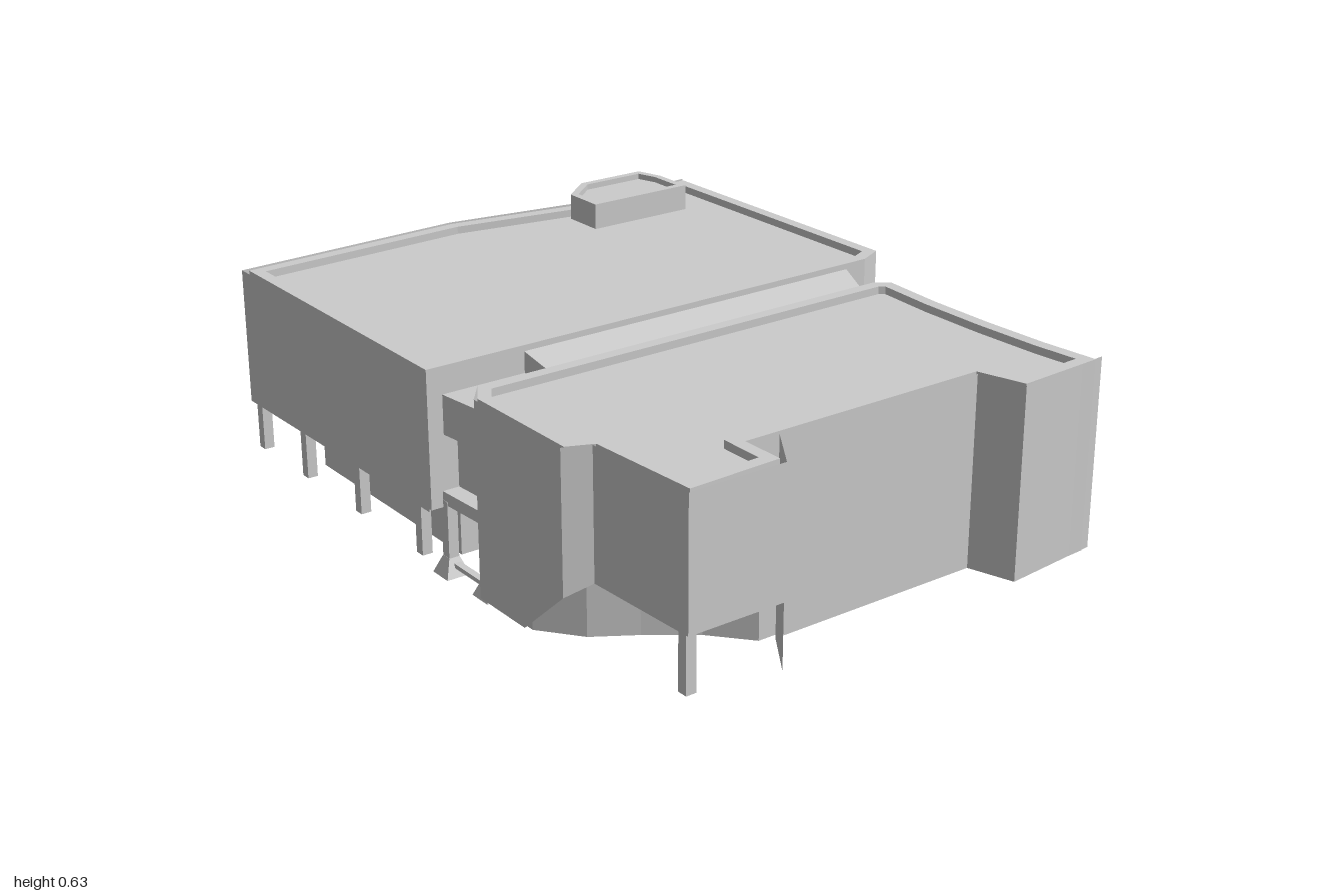
import * as THREE from 'three';

const TOP = 0.577, ROOF = 0.555, BASE = 0.04;
const mat = new THREE.MeshStandardMaterial({ color: 0xcccccc, flatShading: true, side: THREE.DoubleSide });

function add(group, name, geo, x = 0, y = 0, z = 0) {
  const m = new THREE.Mesh(geo, mat);
  m.name = name;
  m.position.set(x, y, z);
  group.add(m);
  return m;
}

const toVec = pts => pts.map(([x, z]) => new THREE.Vector2(x, -z));

// upright prism from a plan outline given as [x, z]
function prism(pts, y0, y1, hole) {
  const shape = new THREE.Shape(toVec(pts));
  if (hole) shape.holes.push(new THREE.Path(toVec(hole)));
  const g = new THREE.ExtrudeGeometry(shape, { depth: y1 - y0, bevelEnabled: false });
  return g.rotateX(-Math.PI / 2).translate(0, y0, 0);
}

// plan outline moved inwards by d
function inset(pts, d) {
  const n = pts.length;
  let area = 0;
  pts.forEach(([x, z], i) => { const q = pts[(i + 1) % n]; area += x * q[1] - q[0] * z; });
  const s = Math.sign(area);
  return pts.map((p, i) => {
    const a = pts[(i + n - 1) % n], b = pts[(i + 1) % n];
    const norm = (u, v) => {
      const dx = v[0] - u[0], dz = v[1] - u[1], l = Math.hypot(dx, dz);
      return [-dz / l * s, dx / l * s];
    };
    const n1 = norm(a, p), n2 = norm(p, b);
    const k = d / (1 + n1[0] * n2[0] + n1[1] * n2[1]);
    return [p[0] + (n1[0] + n2[0]) * k, p[1] + (n1[1] + n2[1]) * k];
  });
}

// flat facade panel between plan points a and b; lower edge is [t, y], cutouts are [t, y] loops
function panel(a, b, lower, cutouts = []) {
  const len = Math.hypot(b[0] - a[0], b[1] - a[1]);
  const v = ([t, y]) => new THREE.Vector2(t * len, y);
  const shape = new THREE.Shape([...lower, [1, TOP], [0, TOP]].map(v));
  cutouts.forEach(c => shape.holes.push(new THREE.Path(c.map(([u, y]) => new THREE.Vector2(u, y)))));
  const g = new THREE.ShapeGeometry(shape);
  g.rotateY(-Math.atan2(b[1] - a[1], b[0] - a[0]));
  return g.translate(a[0], 0, a[1]);
}

// jagged cutout outlines, in units of their own height
const JAGGED = [
  [[-0.3, 0.5], [0.05, 0.3], [0.1, 0.05], [0.3, -0.1], [0.22, -0.5], [0.02, -0.45], [-0.05, -0.1], [-0.35, 0.1], [-0.12, 0.25]],
  [[-0.3, 0.35], [0.0, 0.5], [0.15, 0.2], [0.0, 0.05], [0.4, -0.2], [0.2, -0.5], [-0.1, -0.4], [-0.05, -0.15], [-0.3, 0.05]],
  [[-0.25, 0.4], [0.1, 0.5], [0.3, 0.25], [0.08, 0.1], [0.1, -0.15], [0.5, -0.3], [0.45, -0.5], [-0.4, -0.35], [-0.1, -0.1], [-0.15, 0.15]],
];
const cut = (i, u, y, h, flip = 1) => JAGGED[i].map(([a, b]) => [u + a * h * flip, y + b * h]);

// main volume with raised rim around the roof
function volume(group, name, outline, lowerOutline, overhang) {
  add(group, name + 'Upper', prism(outline, overhang, ROOF));
  add(group, name + 'Lower', prism(lowerOutline, BASE, overhang));
  add(group, name + 'Parapet', prism(outline, ROOF, TOP, inset(outline, 0.035)));
}

export function createModel() {
  const root = new THREE.Group();
  root.name = 'building';

  // rear block
  const rear = new THREE.Group();
  rear.name = 'rearBlock';
  root.add(rear);
  volume(rear, 'rear',
    [[-0.765, 0.01], [0.7, 0.01], [0.775, -0.025], [0.765, -0.935], [0.38, -0.91], [-0.07, -0.985], [-0.76, -0.955]],
    [[-0.68, 0.01], [0.7, 0.01], [0.775, -0.025], [0.765, -0.935], [0.38, -0.91], [-0.07, -0.985], [-0.23, -0.975], [-0.68, -0.72]],
    0.19);

  // rear and side facades with cutouts
  const A = [-0.775, -0.97], B = [-0.07, -1], C = [0.38, -0.93];
  add(rear, 'rearFacadeLeft', panel(A, B, [[0, 0.18], [0.4, 0.15], [0.77, BASE], [1, BASE]],
    [cut(2, 0.27, 0.34, 0.28, -1)]));
  add(rear, 'rearFacadeRight', panel(B, C, [[0, BASE], [1, BASE]],
    [cut(1, 0.13, 0.34, 0.24, -1), cut(0, 0.32, 0.34, 0.34, -1)]));
  add(rear, 'rearFacadeEnd', panel([0.6, -0.935], [0.775, -0.95], [[0, BASE], [1, BASE]]));
  add(rear, 'sideFacade', panel(A, [-0.775, 0.015], [[0, 0.18], [1, 0.19]],
    [cut(1, 0.41, 0.36, 0.15), cut(2, 0.67, 0.42, 0.18, -1), cut(0, 0.87, 0.42, 0.2)]));

  // stair tower rising over the roof
  const tower = [[0.285, -0.74], [0.625, -0.74], [0.625, -0.87], [0.6, -0.95], [0.38, -0.95], [0.285, -0.87]];
  add(rear, 'tower', prism(tower, 0.035, 0.615));
  add(rear, 'towerRim', prism(tower, 0.615, 0.632, inset(tower, 0.022)));

  // front block
  const front = new THREE.Group();
  front.name = 'frontBlock';
  root.add(front);
  volume(front, 'front',
    [[-0.72, 0.18], [0.58, 0.18], [0.62, 0.21], [0.608, 0.4], [0.607, 0.6], [0.615, 0.8], [0.632, 0.965], [0.37, 0.98], [0.33, 0.845],
      [-0.41, 0.845], [-0.41, 0.97], [-0.675, 0.98], [-0.695, 0.65], [-0.765, 0.62], [-0.765, 0.25]],
    [[-0.72, 0.18], [0.58, 0.18], [0.62, 0.21], [0.608, 0.4], [0.607, 0.6], [0.615, 0.8], [0.632, 0.965], [0.37, 0.98], [0.33, 0.845],
      [-0.36, 0.845], [-0.45, 0.74], [-0.57, 0.65], [-0.68, 0.58], [-0.765, 0.47], [-0.765, 0.25]],
    0.22);

  // thin facade wrapping the front and left side: [from, to, start height, end height]
  [
    [[-0.72, 0.18], [-0.775, 0.25], BASE, BASE],
    [[-0.775, 0.25], [-0.775, 0.45], BASE, BASE],
    [[-0.775, 0.45], [-0.775, 0.62], BASE, 0.19],
    [[-0.775, 0.62], [-0.705, 0.65], 0.19, 0.22],
    [[-0.705, 0.65], [-0.69, 0.995], 0.22, 0.22],
    [[-0.69, 0.995], [-0.41, 0.995], 0.22, 0.22],
    [[-0.41, 0.995], [-0.32, 0.86], BASE, BASE],
    [[-0.32, 0.86], [0.32, 0.86], BASE, BASE],
    [[0.32, 0.86], [0.36, 0.99], BASE, BASE],
    [[0.36, 0.99], [0.66, 0.96], BASE, BASE],
  ].forEach(([a, b, y0, y1]) => add(front, 'frontFacade', panel(a, b, [[0, y0], [1, y1]])));

  // posts below the overhangs
  [[-0.75, -0.94], [-0.5, -0.95], [-0.75, -0.68], [-0.75, -0.38], [-0.75, -0.06], [-0.65, 0.94]].forEach(([x, z]) =>
    add(root, 'post', new THREE.BoxGeometry(0.03, 0.17, 0.03), x, 0.125, z));

  // link between the blocks: sloping roof part, flat-topped part, recessed lower part
  const link = new THREE.Group();
  link.name = 'link';
  root.add(link);
  const sloped = prism([[-0.47, 0.01], [0.63, 0.01], [0.575, 0.185], [-0.46, 0.185]], 0.39, 0.56);
  const p = sloped.attributes.position;
  for (let i = 0; i < p.count; i++) if (p.getY(i) > 0.5 && p.getZ(i) > 0.1) p.setY(i, 0.52);
  sloped.computeVertexNormals();
  add(link, 'linkRoof', sloped);
  add(link, 'linkFlatRoof', prism([[-0.72, 0.01], [-0.47, 0.01], [-0.46, 0.185], [-0.7, 0.185]], 0.39, 0.5));
  add(link, 'linkGlazing', prism([[-0.68, 0.01], [0.57, 0.01], [0.52, 0.185], [-0.67, 0.185]], 0.23, 0.39));
  add(link, 'linkFloor', prism([[-0.73, 0], [0.63, 0], [0.575, 0.19], [-0.72, 0.19]], 0.2, 0.235));

  // legs with spread feet at both ends of the link
  const foot = new THREE.CylinderGeometry(0.022, 0.05, 0.05, 4).rotateY(Math.PI / 4);
  [[0.615, 0.015], [0.555, 0.19], [-0.715, 0.015], [-0.705, 0.19]].forEach(([x, z]) => {
    add(link, 'leg', new THREE.BoxGeometry(0.03, 0.18, 0.03), x, 0.12, z);
    add(link, 'foot', foot, x, 0.025, z);
  });
  [0.585, -0.71].forEach(x => add(link, 'crossBar', new THREE.BoxGeometry(0.02, 0.012, 0.18), x, 0.03, 0.1));

  return root;
}
